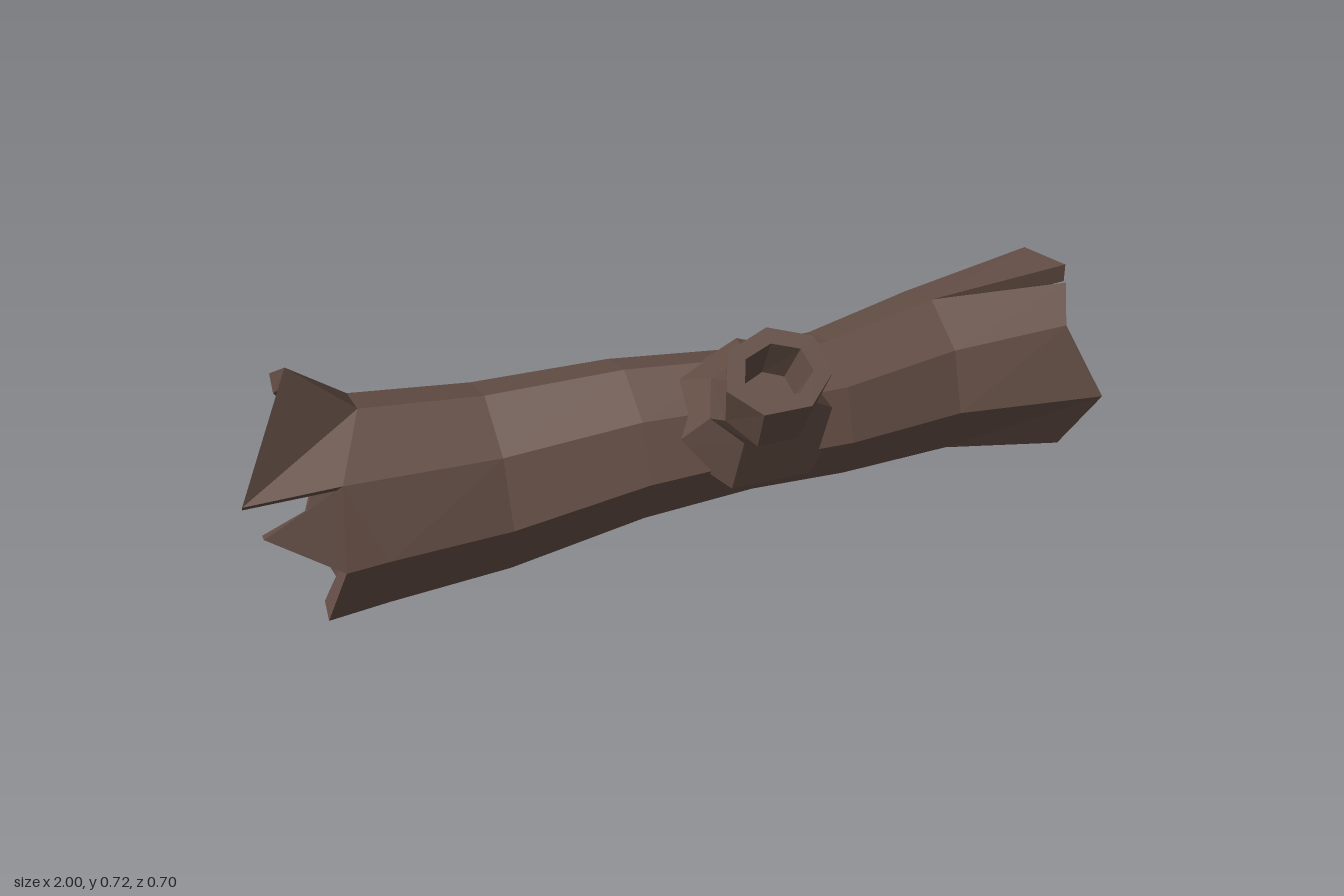
import * as THREE from 'three';

const WALL = 0.045;
const bark = new THREE.MeshStandardMaterial({ color: 0x665047, flatShading: true });

// Collects quads (corners counter-clockwise from outside) into one faceted mesh.
function quadMesh(name, quads) {
  const pos = [];
  for (const [a, b, c, d] of quads) for (const p of [a, b, c, a, c, d]) pos.push(p.x, p.y, p.z);
  const geometry = new THREE.BufferGeometry();
  geometry.setAttribute('position', new THREE.Float32BufferAttribute(pos, 3));
  geometry.computeVertexNormals();
  const mesh = new THREE.Mesh(geometry, bark);
  mesh.name = name;
  return mesh;
}
const v = (x, y, z) => new THREE.Vector3(x, y, z);

// Log rings between the ragged ends: x, centre y, centre z, radius
const RINGS = [
  [-0.72, 0.25, -0.097, 0.24],
  [-0.44, 0.24, -0.102, 0.218],
  [-0.13, 0.30, -0.058, 0.188],
  [0.12, 0.325, -0.015, 0.165],
  [0.35, 0.31, -0.03, 0.17],
  [0.64, 0.295, -0.102, 0.196],
];

// Ragged ends, spokes counted from the front over the top to the back.
// A spoke with two points is split by a crack: [below it, above it].
const LEFT = [
  [v(-0.815, 0.255, 0.158)],
  [v(-0.97, 0.36, 0.122), v(-1, 0.41, 0.065)],
  [v(-0.86, 0.63, -0.093)],
  [v(-0.88, 0.49, -0.295)],
  [v(-0.78, 0.255, -0.35)],
  [v(-0.86, 0.077, -0.272)],
  [v(-0.80, 0, -0.095)],
  [v(-0.86, 0.077, 0.088)],
];
const RIGHT = [
  [v(0.99, 0.29, 0.133)],
  [v(0.91, 0.463, 0.063)],
  [v(0.95, 0.52, -0.027), v(1, 0.507, -0.12)],
  [v(0.98, 0.468, -0.285)],
  [v(0.91, 0.29, -0.352)],
  [v(0.99, 0.12, -0.282)],
  [v(0.99, 0.05, -0.107)],
  [v(0.93, 0.12, 0.063)],
];

// Moves a point of the outer wall in toward the axis
function inward(p, cy, cz) {
  const l = Math.hypot(p.y - cy, p.z - cz);
  const f = (l - WALL) / l;
  return v(p.x, cy + (p.y - cy) * f, cz + (p.z - cz) * f);
}

// One lengthwise edge of a panel: outer and inner points from left to right
function spoke(k, side) {
  const pick = (tips) => tips[k][Math.min(side, tips[k].length - 1)];
  const outer = [], inner = [];
  const add = (p, cy, cz) => { outer.push(p); inner.push(inward(p, cy, cz)); };
  add(pick(LEFT), 0.255, -0.097);
  RINGS.forEach(([x, cy, cz, r], i) => {
    const a = k * Math.PI / 4;
    const px = i === 0 && k === 1 ? -0.79 : x;
    add(v(px, cy + r * Math.sin(a), cz + r * Math.cos(a)), cy, cz);
  });
  add(pick(RIGHT), 0.285, -0.108);
  return { outer, inner };
}

function hollowLog() {
  const quads = [];
  for (let k = 0; k < 8; k++) {
    const n = (k + 1) % 8;
    const a = spoke(k, 1), b = spoke(n, 0);
    const last = a.outer.length - 1;
    for (let s = 0; s < last; s++) {
      quads.push([a.outer[s], a.outer[s + 1], b.outer[s + 1], b.outer[s]]);
      quads.push([a.inner[s], b.inner[s], b.inner[s + 1], a.inner[s + 1]]);
    }
    // Broken rims
    quads.push([a.outer[last], a.inner[last], b.inner[last], b.outer[last]]);
    quads.push([a.outer[0], b.outer[0], b.inner[0], a.inner[0]]);
    // Side walls of the cracks
    for (const [tips, s] of [[LEFT, 0], [RIGHT, last - 1]]) {
      if (tips[k].length > 1) quads.push([a.outer[s], a.inner[s], a.inner[s + 1], a.outer[s + 1]]);
      if (tips[n].length > 1) quads.push([b.outer[s], b.outer[s + 1], b.inner[s + 1], b.inner[s]]);
    }
  }
  return quadMesh('hollowLog', quads);
}

// Branch rings: centre x, y, z, half width, half depth, tilt of the axis toward the front.
// They run up the outside, over the rim and down into the hole.
const BRANCH = [
  [0.14, 0.385, 0.055, 0.215, 0.175, 0.78],
  [0.11, 0.485, 0.14, 0.115, 0.10, 0.8],
  [0.10, 0.545, 0.238, 0.105, 0.098, 0.85],
  [0.10, 0.652, 0.283, 0.122, 0.096, 0.72],
  [0.10, 0.652, 0.283, 0.078, 0.06, 0.72],
  [0.10, 0.56, 0.232, 0.058, 0.05, 0.72],
  [0.10, 0.56, 0.232, 0, 0, 0.72],
];

function branchStub() {
  const N = 7;
  const rings = BRANCH.map(([x, y, z, w, d, tilt]) => Array.from({ length: N }, (_, i) => {
    const a = Math.PI / 2 + i * 2 * Math.PI / N;
    const h = d * Math.sin(a);
    return v(x + w * Math.cos(a), y + h * Math.sin(tilt), z - h * Math.cos(tilt));
  }));
  const quads = [];
  for (let s = 0; s < rings.length - 1; s++) {
    for (let i = 0; i < N; i++) {
      const j = (i + 1) % N;
      quads.push([rings[s][i], rings[s][j], rings[s + 1][j], rings[s + 1][i]]);
    }
  }
  return quadMesh('branchStub', quads);
}

export function createModel() {
  const group = new THREE.Group();
  group.name = 'hollowLogWithBranch';
  group.add(hollowLog(), branchStub());
  return group;
}
